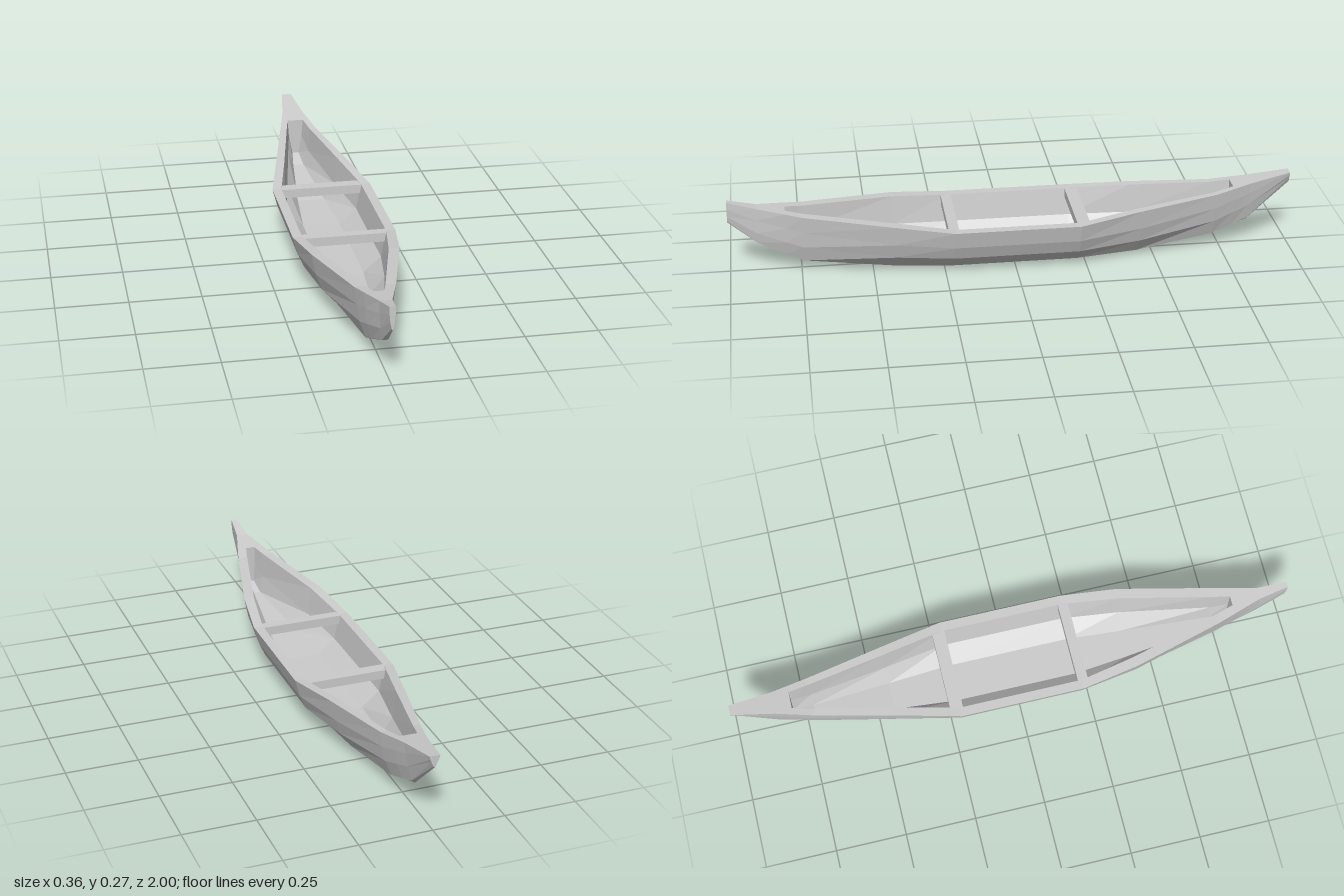
import * as THREE from 'three';

// Half sections from bow to stern: z, four outer points (x, y) from the sheer down, keel height
const outer = [
  [1.0, 0.01, 0.27, 0.01, 0.245, 0.007, 0.215, 0.003, 0.195, 0.19],
  [0.9, 0.021, 0.245, 0.02, 0.2, 0.018, 0.15, 0.01, 0.11, 0.107],
  [0.74, 0.068, 0.223, 0.059, 0.16, 0.05, 0.1, 0.03, 0.04, 0.032],
  [0.42, 0.15, 0.203, 0.136, 0.13, 0.115, 0.072, 0.063, 0.015, 0.008],
  [0.22, 0.18, 0.182, 0.163, 0.118, 0.14, 0.067, 0.078, 0.01, 0],
  [-0.22, 0.18, 0.182, 0.163, 0.118, 0.14, 0.067, 0.078, 0.01, 0],
  [-0.44, 0.131, 0.203, 0.118, 0.13, 0.1, 0.075, 0.058, 0.018, 0.01],
  [-0.72, 0.07, 0.222, 0.062, 0.165, 0.05, 0.11, 0.028, 0.053, 0.043],
  [-0.85, 0.04, 0.245, 0.035, 0.205, 0.026, 0.155, 0.012, 0.1, 0.09],
  [-1.0, 0.018, 0.27, 0.016, 0.26, 0.011, 0.248, 0.004, 0.232, 0.228],
];

// Cavity half sections: z, rim x, side (x, y), floor edge (x, y)
const inner = [
  [0.8, 0.017, 0.016, 0.16, 0.012, 0.09],
  [0.74, 0.033, 0.03, 0.13, 0.018, 0.065],
  [0.42, 0.113, 0.1, 0.1, 0.05, 0.04],
  [0.22, 0.147, 0.13, 0.085, 0.068, 0.032],
  [-0.22, 0.147, 0.13, 0.085, 0.068, 0.032],
  [-0.44, 0.1, 0.09, 0.1, 0.05, 0.04],
  [-0.72, 0.045, 0.04, 0.13, 0.02, 0.075],
  [-0.79, 0.03, 0.025, 0.17, 0.012, 0.1],
];

// Outer section at any z, interpolated between the given ones
function outerAt(z) {
  let i = 0;
  while (i < outer.length - 2 && outer[i + 1][0] > z) i++;
  const [a, b] = [outer[i], outer[i + 1]];
  const t = (a[0] - z) / (a[0] - b[0]);
  return a.map((v, k) => THREE.MathUtils.lerp(v, b[k], t));
}

// Closed ring: outer skin from left sheer under the keel to right sheer, then back through the cavity
function ring(z, cavity) {
  const o = outerAt(z);
  const half = [[o[1], o[2]], [o[3], o[4]], [o[5], o[6]], [o[7], o[8]]];
  const inside = cavity
    ? [[cavity[1], o[2]], [cavity[2], cavity[3]], [cavity[4], cavity[5]]]
    : [[0, o[2]], [0, o[2]], [0, o[2]]];
  const mirror = (pts) => pts.map(([x, y]) => [-x, y]);
  return [...half, [0, o[9]], ...mirror(half).reverse(), ...mirror(inside), ...inside.slice().reverse()]
    .map(([x, y]) => new THREE.Vector3(x, y, z));
}

function hullGeometry() {
  // Solid ends; at each end of the cavity a solid and an open ring share one z to form its wall
  const rings = [
    ring(1), ring(0.9), ring(0.8),
    ...inner.map((c) => ring(c[0], c)),
    ring(-0.79), ring(-0.85), ring(-1),
  ];
  const pos = [];
  const tri = (a, b, c) => {
    const area = b.clone().sub(a).cross(c.clone().sub(a)).length();
    if (area > 1e-8) for (const p of [a, b, c]) pos.push(p.x, p.y, p.z);
  };
  for (let i = 0; i < rings.length - 1; i++) {
    const [r, s] = [rings[i], rings[i + 1]];
    for (let j = 0; j < r.length; j++) {
      const k = (j + 1) % r.length;
      tri(r[j], r[k], s[j]);
      tri(r[k], s[k], s[j]);
    }
  }
  // Bow and stern faces
  const [bow, stern] = [rings[0], rings[rings.length - 1]];
  for (let j = 1; j < 8; j++) {
    tri(bow[0], bow[j + 1], bow[j]);
    tri(stern[0], stern[j], stern[j + 1]);
  }
  const g = new THREE.BufferGeometry();
  g.setAttribute('position', new THREE.Float32BufferAttribute(pos, 3));
  g.computeVertexNormals();
  return g;
}

export function createModel() {
  const model = new THREE.Group();
  model.name = 'canoe';
  const material = new THREE.MeshStandardMaterial({ color: 0xcccccc, flatShading: true });

  const hull = new THREE.Mesh(hullGeometry(), material);
  hull.name = 'hull';
  model.add(hull);

  // Two cross bars level with the gunwale
  for (const [name, z, depth] of [['frontThwart', 0.223, 0.036], ['backThwart', -0.232, 0.045]]) {
    const bar = new THREE.Mesh(new THREE.BoxGeometry(0.3, 0.032, depth), material);
    bar.name = name;
    bar.position.set(0, 0.166, z);
    model.add(bar);
  }
  return model;
}
